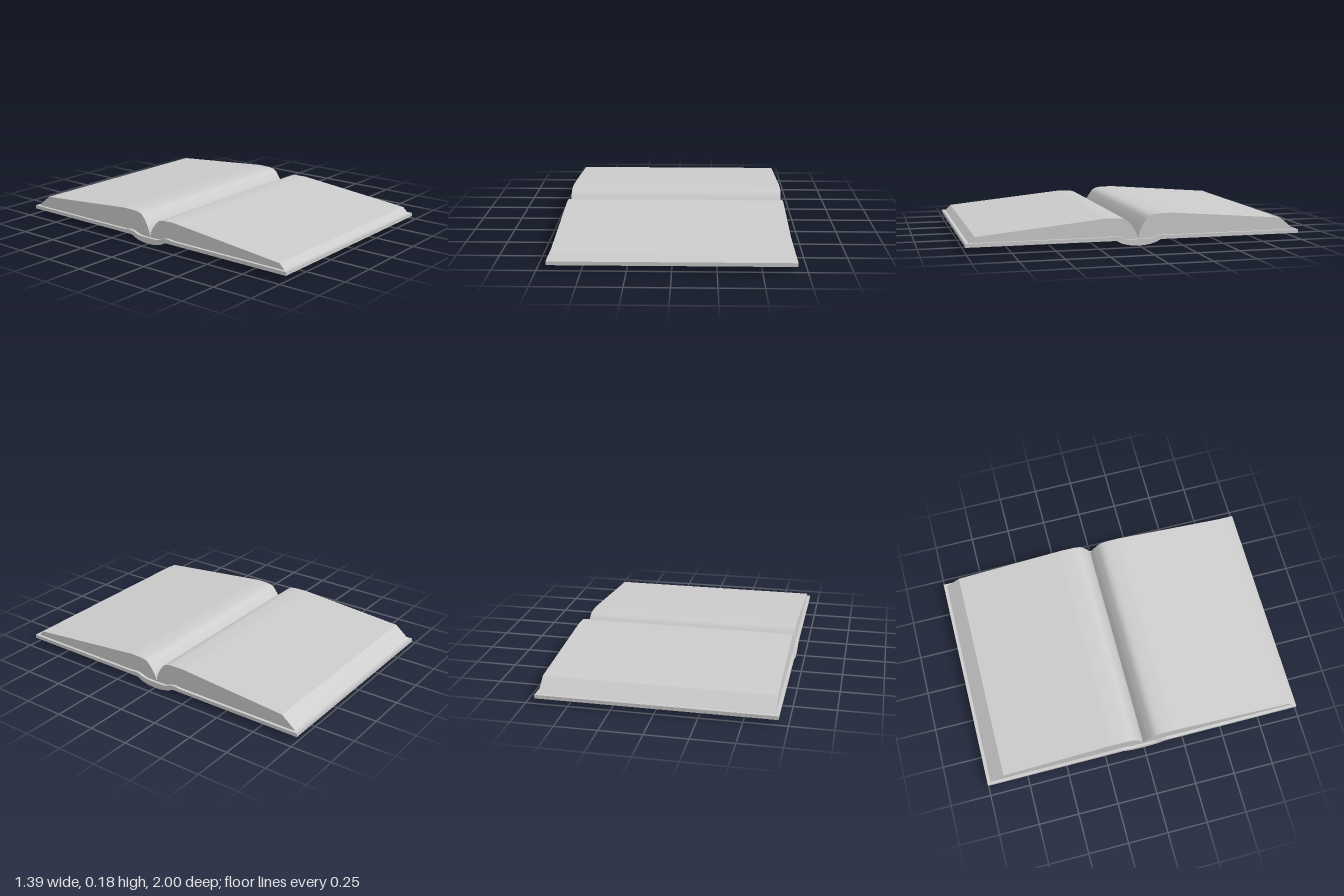
import * as THREE from 'three';
import { toCreasedNormals } from 'three/addons/utils/BufferGeometryUtils.js';

const material = new THREE.MeshStandardMaterial({ color: 0xcccccc });

const vectors = (points) => points.map(([z, y]) => new THREE.Vector2(z, y));
const smooth = (points, steps) => new THREE.SplineCurve(vectors(points)).getPoints(steps);
const mirrored = (points) => points.map(([z, y]) => [-z, y]).reverse();

// Sweep a (z, y) profile across the width, creasing only the sharp corners
function sweep(name, outline, width) {
  const geometry = new THREE.ExtrudeGeometry(new THREE.Shape(outline), {
    depth: width, bevelEnabled: false, steps: 1,
  });
  geometry.translate(0, 0, -width / 2);
  geometry.rotateY(-Math.PI / 2);
  const mesh = new THREE.Mesh(toCreasedNormals(geometry, 0.45), material);
  mesh.name = name;
  return mesh;
}

// Cover's inner surface from hinge to spine centre, shared with the page blocks
const hinge = [[0.19, 0.054], [0.15, 0.059], [0.115, 0.053], [0.08, 0.04], [0.04, 0.037], [0, 0.037]];

// One half of the open pages; side is +1 for the front block, -1 for the back
function pageBlock(name, side, foreEdge, crown) {
  const outline = [
    ...vectors([[0.98, 0.054], foreEdge]),
    ...smooth(crown, 24),
    ...smooth(hinge, 14).reverse().slice(1),
  ].map((p) => new THREE.Vector2(p.x * side, p.y));
  return sweep(name, outline, 1.355);
}

export function createModel() {
  const group = new THREE.Group();
  group.name = 'openBook';

  // Two flat boards joined by a rounded spine
  const spine = [[0.135, 0.032], [0.1, 0.015], [0.05, 0.003], [0, 0]];
  const inner = [...hinge, ...mirrored(hinge).slice(1)];
  const outer = [...spine, ...mirrored(spine).slice(1)];
  group.add(sweep('cover', [
    ...vectors([[1, 0.032], [1, 0.054]]),
    ...smooth(inner, 32),
    ...vectors([[-1, 0.054], [-1, 0.032]]),
    ...smooth(outer, 24).reverse(),
  ], 1.39));

  // Page blocks with slanted fore edges, curving down into the gutter
  group.add(pageBlock('frontPages', 1, [0.945, 0.087],
    [[0.21, 0.16], [0.17, 0.162], [0.08, 0.154], [0.032, 0.108], [0.008, 0.068], [0, 0.037]]));
  group.add(pageBlock('backPages', -1, [0.89, 0.127],
    [[0.23, 0.18], [0.18, 0.182], [0.08, 0.174], [0.035, 0.13], [0.01, 0.08], [0, 0.037]]));

  return group;
}
